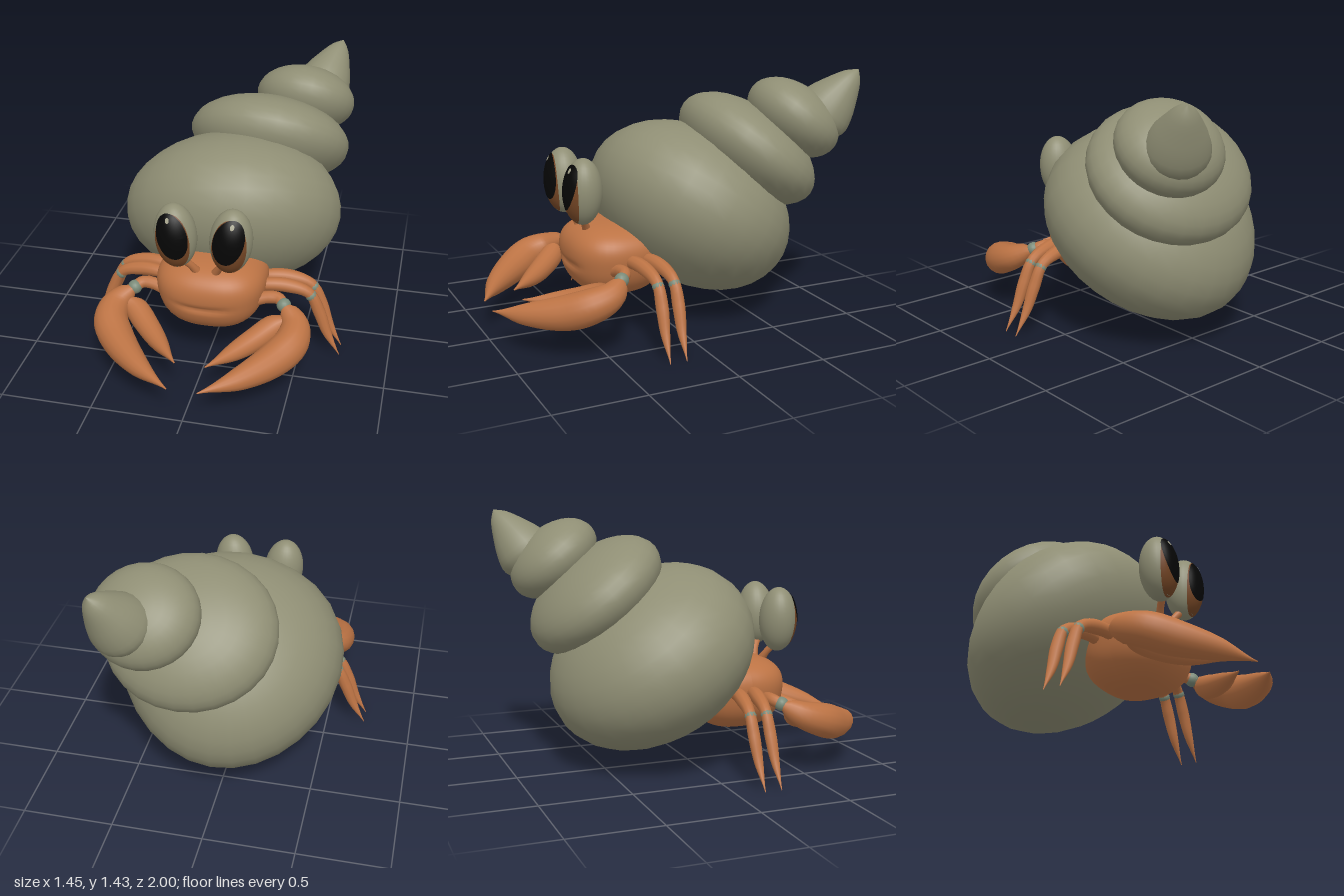
import * as THREE from 'three';

const mat = (name, color) => {
  const m = new THREE.MeshStandardMaterial({ color });
  m.name = name;
  return m;
};
const V = (x, y, z) => new THREE.Vector3(x, y, z);

export function createModel() {
  const shellMat = mat('shell olive', 0x8f8e74);
  const skinMat = mat('crab orange', 0xbc7344);
  const jointMat = mat('joint grey', 0x7a8a78);
  const irisMat = mat('iris brown', 0x784826);
  const pupilMat = mat('pupil black', 0x060606);
  const glintMat = mat('eye glint', 0xa6a38c);

  const root = new THREE.Group();
  root.name = 'hermitCrab';
  const add = (parent, name, geo, material, pos) => {
    const m = new THREE.Mesh(geo, material);
    m.name = name;
    if (pos) m.position.copy(pos);
    parent.add(m);
    return m;
  };
  const group = (name, parent = root) => {
    const g = new THREE.Group();
    g.name = name;
    parent.add(g);
    return g;
  };

  // Tapered limb through [x, y, z, radius] points; s mirrors it in x
  const limb = (pts, s, dz = 0, segs = 24, sides = 12) => {
    const curve = new THREE.CatmullRomCurve3(pts.map(p => V(s * p[0], p[1], p[2] + dz)));
    const radii = new THREE.SplineCurve(pts.map((p, i) => new THREE.Vector2(i, p[3])));
    const geo = new THREE.TubeGeometry(curve, segs, 1, sides);
    const pos = geo.attributes.position;
    const v = V(0, 0, 0);
    for (let i = 0; i <= segs; i++) {
      const c = curve.getPointAt(i / segs);
      const r = Math.max(0.002, radii.getPoint(curve.getUtoTmapping(i / segs)).y);
      for (let j = 0; j <= sides; j++) {
        const k = i * (sides + 1) + j;
        v.fromBufferAttribute(pos, k).sub(c).multiplyScalar(r).add(c);
        pos.setXYZ(k, v.x, v.y, v.z);
      }
    }
    return geo;
  };

  // Shell: overlapping tilted whorls (the largest narrows to the back) and a teardrop tip
  const shell = group('shell');
  const whorls = [
    { c: [0.025, 0.63, -0.22], n: [-0.11, 0.8, -0.6], r: [0.622, 0.439, 0.617], taper: 0.22 },
    { c: [0.17, 0.97, -0.49], n: [0.05, 0.77, -0.63], r: [0.472, 0.235, 0.43], taper: 0 },
    { c: [0.35, 1.163, -0.68], n: [0.08, 0.77, -0.63], r: [0.292, 0.183, 0.28], taper: 0 },
  ];
  whorls.forEach(({ c, n, r, taper }, i) => {
    const up = V(...n).normalize();
    const u = V(1, 0, 0).addScaledVector(up, -up.x).normalize();
    const w = u.clone().cross(up);
    const geo = new THREE.SphereGeometry(1, 28, 18);
    geo.scale(...r);
    geo.applyMatrix4(new THREE.Matrix4().makeBasis(u, up, w));
    const pos = geo.attributes.position;
    for (let k = 0; k < pos.count; k++) pos.setX(k, pos.getX(k) * (1 + taper * pos.getZ(k)));
    add(shell, 'whorl' + (i + 1), geo, shellMat, V(...c));
  });
  const tipProfile = new THREE.SplineCurve([
    [0, -0.13], [0.1, -0.095], [0.163, 0], [0.149, 0.09], [0.104, 0.19], [0.053, 0.28], [0, 0.33],
  ].map(p => new THREE.Vector2(...p))).getPoints(18);
  tipProfile.forEach(p => { p.x = Math.max(0, p.x); });
  const tip = add(shell, 'shellTip', new THREE.LatheGeometry(tipProfile, 20), shellMat, V(0.423, 1.175, -0.808));
  tip.quaternion.setFromUnitVectors(V(0, 1, 0), V(0.105, 0.265, -0.178).normalize());

  // Body: rounded block, narrower below, with a mouth crease in front
  const bodyGeo = new THREE.SphereGeometry(1, 48, 48);
  const bp = bodyGeo.attributes.position;
  for (let i = 0; i < bp.count; i++) {
    const v = V(0, 0, 0).fromBufferAttribute(bp, i);
    const p = 2.6;
    const len = Math.abs(v.x) ** p + Math.abs(v.y) ** p + Math.abs(v.z) ** p;
    v.multiplyScalar(len ** (-1 / p));
    const x = 0.3 * v.x * (1 + 0.13 * v.y);
    const y = 0.4 + 0.21 * v.y;
    let z = 0.27 + 0.275 * v.z * (1 + 0.1 * v.y);
    const smile = 0.385 + 0.6 * x * x;
    if (v.z > 0) z -= 0.016 * v.z * Math.exp(-(((y - smile) / 0.018) ** 2)) * Math.exp(-((x / 0.14) ** 4));
    bp.setXYZ(i, x, y, z);
  }
  bodyGeo.computeVertexNormals();
  add(root, 'body', bodyGeo, skinMat);

  // Eye patch: an ellipse, sheared sideways by lean, pressed onto the front of the eyeball
  const eyeR = [0.115, 0.185, 0.105];
  const patch = (cx, cy, rx, ry, lift, lean = 0) => {
    const geo = new THREE.RingGeometry(0, 1, 32, 8);
    const pos = geo.attributes.position;
    for (let i = 0; i < pos.count; i++) {
      const x = cx + rx * pos.getX(i) + lean * pos.getY(i), y = cy + ry * pos.getY(i);
      const d = Math.max(0, 1 - (x / eyeR[0]) ** 2 - (y / eyeR[1]) ** 2);
      pos.setXYZ(i, x, y, eyeR[2] * Math.sqrt(d) + lift);
    }
    geo.computeVertexNormals();
    return geo;
  };

  const outerClaw = [
    [0.42, 0.385, 0.39, 0.01], [0.45, 0.37, 0.42, 0.05], [0.5, 0.335, 0.49, 0.077], [0.5, 0.3, 0.6, 0.094],
    [0.43, 0.26, 0.71, 0.093], [0.27, 0.222, 0.87, 0.06], [0.08, 0.195, 0.998, 0.003],
  ];
  const innerClaw = [
    [0.46, 0.345, 0.45, 0.02], [0.39, 0.315, 0.49, 0.063], [0.3, 0.275, 0.58, 0.064],
    [0.2, 0.247, 0.69, 0.047], [0.08, 0.235, 0.83, 0.003],
  ];
  const arm = [[0.24, 0.38, 0.37, 0.035], [0.33, 0.405, 0.355, 0.035], [0.39, 0.405, 0.36, 0.034], [0.43, 0.38, 0.41, 0.03]];
  const leg = [
    [0.22, 0.41, 0.28, 0.03], [0.3, 0.435, 0.275, 0.037], [0.42, 0.43, 0.255, 0.04], [0.54, 0.385, 0.24, 0.031],
    [0.6, 0.27, 0.24, 0.034], [0.65, 0.14, 0.245, 0.025], [0.725, 0.003, 0.25, 0.002],
  ];

  for (const [side, s] of [['left', 1], ['right', -1]]) {
    // Eye on a short stalk
    add(root, side + 'EyeStalk', limb([[0.05, 0.57, 0.44, 0.026], [0.075, 0.615, 0.46, 0.02], [0.12, 0.68, 0.5, 0.022]], s, 0, 8), skinMat);
    const eye = group(side + 'Eye');
    eye.position.set(s * 0.15, 0.818, 0.497);
    eye.rotation.z = -s * 0.08;
    const ball = new THREE.SphereGeometry(1, 28, 20);
    ball.scale(...eyeR);
    add(eye, 'eyeball', ball, shellMat);
    add(eye, 'iris', patch(s * 0.002, -0.01, 0.093, 0.165, 0.002), irisMat);
    add(eye, 'pupil', patch(-s * 0.002, 0.03, 0.083, 0.128, 0.005, s * 0.014), pupilMat);
    add(eye, 'glint', patch(s * 0.012, 0.127, 0.011, 0.014, 0.007), glintMat);

    // Arm and pincer
    const claw = group(side + 'Claw');
    add(claw, 'arm', limb(arm, s, 0, 14), skinMat);
    add(claw, 'wrist', new THREE.SphereGeometry(0.04, 16, 12), jointMat, V(s * 0.422, 0.389, 0.392));
    add(claw, 'outerPincer', limb(outerClaw, s, 0, 32, 16), skinMat);
    add(claw, 'innerPincer', limb(innerClaw, s, 0, 24, 16), skinMat);

    // Two walking legs with a joint at the knee
    [['FrontLeg', 0], ['RearLeg', -0.095]].forEach(([name, dz]) => {
      const g = group(side + name);
      add(g, 'leg', limb(leg, s, dz, 28, 10), skinMat);
      add(g, 'knee', new THREE.SphereGeometry(0.033, 12, 8), jointMat, V(s * 0.55, 0.372, 0.24 + dz));
    });
  }
  return root;
}
